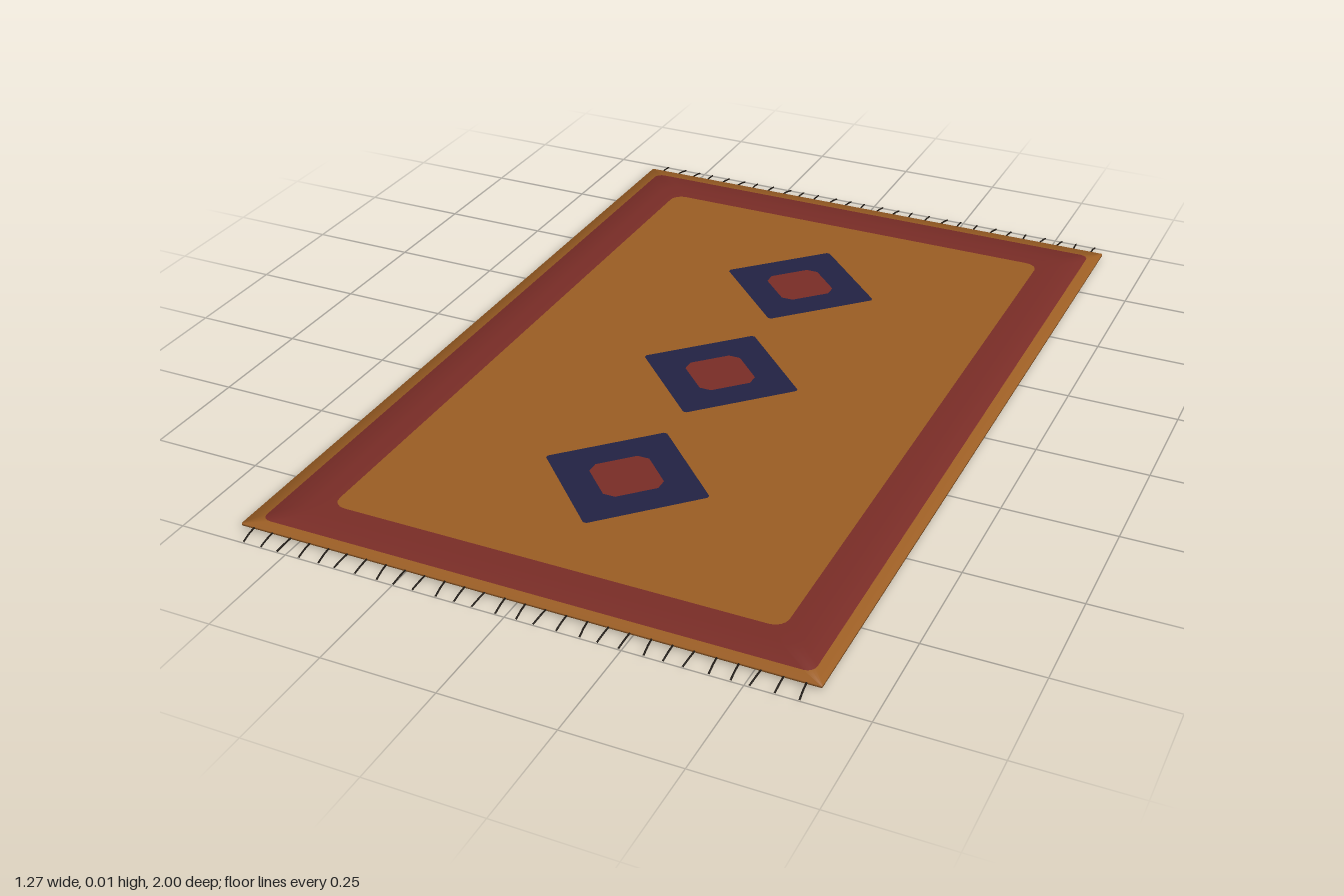
import * as THREE from 'three';

const material = (name, color) => {
  const m = new THREE.MeshStandardMaterial({ color });
  m.name = name;
  return m;
};

// Outline of a rounded rectangle, running from +x towards +z
function roundedRing(hx, hz, r, steps = 5) {
  const points = [];
  const corners = [[1, 1], [-1, 1], [-1, -1], [1, -1]];
  corners.forEach(([sx, sz], c) => {
    for (let i = 0; i < steps; i++) {
      const a = (c + i / (steps - 1)) * Math.PI / 2;
      points.push([sx * (hx - r) + r * Math.cos(a), sz * (hz - r) + r * Math.sin(a)]);
    }
  });
  return points;
}

// Woven slab: rings from the top centre, over the edge, to the bottom centre
function slabGeometry() {
  // half width, half length, corner radius, height, outward lean of the normal, colour of next band
  const rings = [
    [0, 0, 0, 0.012, 0, 0],
    [0.505, 0.825, 0.03, 0.012, 0, 1],
    [0.55, 0.87, 0.03, 0.012, 0.05, 1],
    [0.607, 0.927, 0.02, 0.012, 0.3, 0],
    [0.636, 0.956, 0.003, 0.0112, 0.6, 0],
    [0.636, 0.956, 0.003, 0.0065, 0.6, 0],
    [0.55, 0.87, 0.03, 0.006, 0.05, 0],
    [0, 0, 0, 0.006, 0, 0],
  ];
  const position = [], normal = [], index = [];
  const geometry = new THREE.BufferGeometry();
  const n = roundedRing(1, 1, 0.1).length;
  rings.forEach(([hx, hz, r, y, lean], k) => {
    const directions = roundedRing(1, 1, 1);
    roundedRing(hx, hz, r).forEach(([x, z], i) => {
      position.push(x, y, z);
      const [dx, dz] = directions[i];
      const v = new THREE.Vector3(dx * lean, k < 5 ? 1 : -1, dz * lean).normalize();
      normal.push(v.x, v.y, v.z);
    });
  });
  for (let k = 0; k < rings.length - 1; k++) {
    geometry.addGroup(index.length, n * 6, rings[k][5]);
    for (let i = 0; i < n; i++) {
      const j = (i + 1) % n;
      const a = k * n + i, b = k * n + j;
      index.push(a, b, a + n, b, b + n, a + n);
    }
  }
  geometry.setAttribute('position', new THREE.Float32BufferAttribute(position, 3));
  geometry.setAttribute('normal', new THREE.Float32BufferAttribute(normal, 3));
  geometry.setIndex(index);
  return geometry;
}

// Diamond with slightly clipped tips, lying flat
function diamondGeometry(half, clip) {
  const shape = new THREE.Shape([
    [half, -clip], [half, clip], [clip, half], [-clip, half],
    [-half, clip], [-half, -clip], [-clip, -half], [clip, -half],
  ].map(([x, y]) => new THREE.Vector2(x, y)));
  return new THREE.ShapeGeometry(shape).rotateX(-Math.PI / 2);
}

export function createModel() {
  const ochre = material('ochre wool', 0x9c5e24);
  const red = material('brick red wool', 0x7a2d27);
  const navy = material('navy wool', 0x232344);
  const dark = material('dark fringe', 0x1e1812);

  const rug = new THREE.Group();
  rug.name = 'rug';
  const add = (parent, name, geometry, mat) => {
    const mesh = new THREE.Mesh(geometry, mat);
    mesh.name = name;
    parent.add(mesh);
    return mesh;
  };

  add(rug, 'wovenSlab', slabGeometry(), [ochre, red]);

  // Three medallions along the middle
  const outer = diamondGeometry(0.19, 0.004);
  const inner = diamondGeometry(0.081, 0.014);
  for (const z of [-0.478, 0, 0.478]) {
    add(rug, 'medallion', outer, navy).position.set(0, 0.0128, z);
    add(rug, 'medallionCentre', inner, red).position.set(0, 0.0136, z);
  }

  // Fringe threads drooping to the floor at both ends
  const threads = 28;
  for (const side of [-1, 1]) {
    const fringe = new THREE.Group();
    fringe.name = side > 0 ? 'frontFringe' : 'backFringe';
    for (let i = 0; i < threads; i++) {
      const x = -0.605 + 1.21 * i / (threads - 1);
      const drift = 0.005 * Math.sin(i * 1.9 + side);
      const curve = new THREE.CatmullRomCurve3([
        new THREE.Vector3(x, 0.009, side * 0.95),
        new THREE.Vector3(x + drift * 0.4, 0.007, side * 0.975),
        new THREE.Vector3(x + drift, 0.002, side),
      ]);
      add(fringe, 'thread', new THREE.TubeGeometry(curve, 4, 0.002, 5), dark);
    }
    rug.add(fringe);
  }
  return rug;
}
